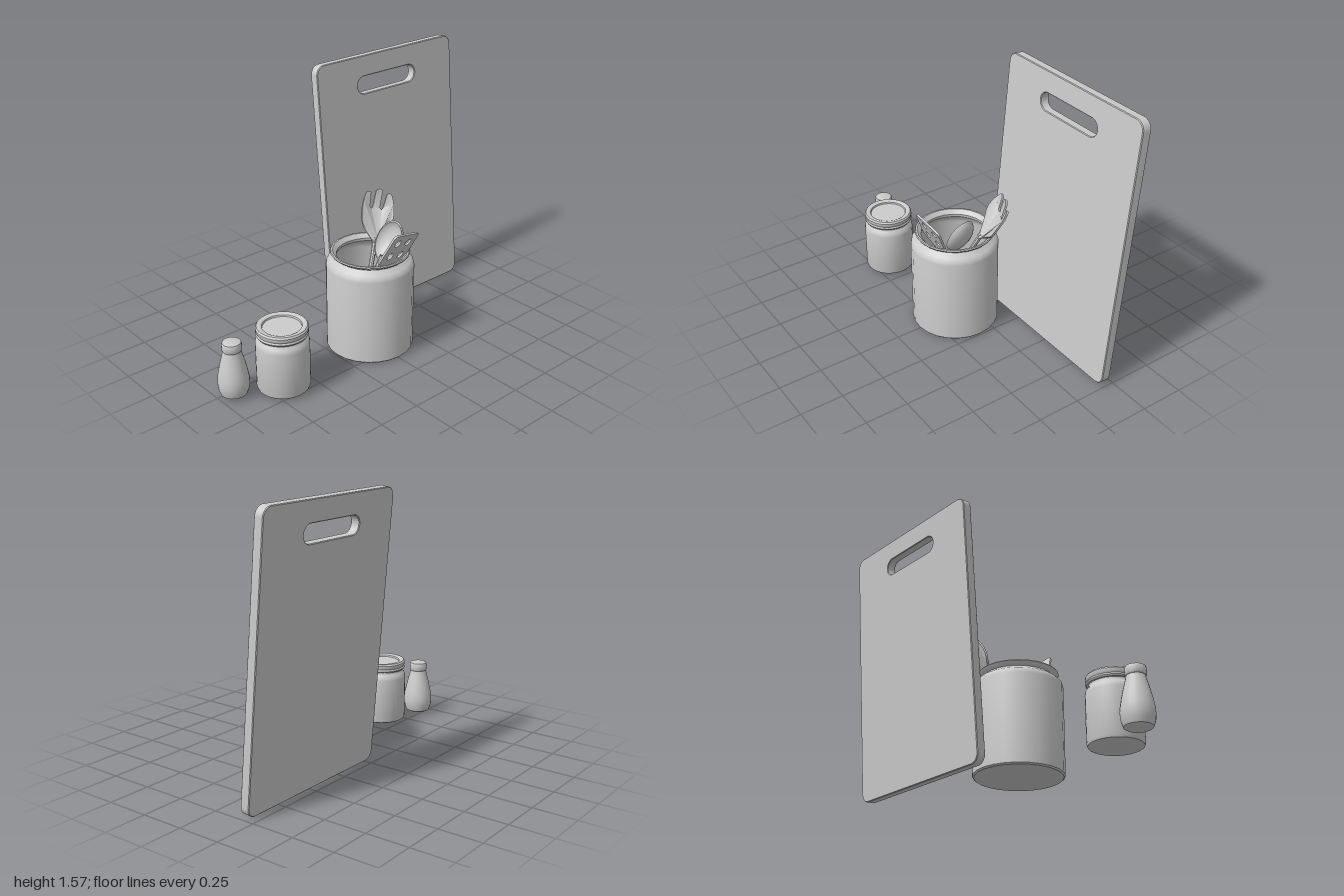
import * as THREE from 'three';
import { toCreasedNormals } from 'three/addons/utils/BufferGeometryUtils.js';

const mat = new THREE.MeshStandardMaterial({ color: 0xcccccc, side: THREE.DoubleSide });
const V = (x, y, z) => new THREE.Vector3(x, y, z);

function mesh(name, geometry, crease = 0.6) {
  const m = new THREE.Mesh(toCreasedNormals(geometry, crease), mat);
  m.name = name;
  return m;
}

// Turned part from [radius, height] pairs
function turned(name, profile, x, z, sides) {
  const m = mesh(name, new THREE.LatheGeometry(profile.map(p => new THREE.Vector2(...p)), sides));
  m.position.set(x, 0, z);
  return m;
}

// Rounded rectangle with lower left corner at x, y
function roundRect(path, x, y, w, h, r) {
  path.moveTo(x + r, y);
  path.lineTo(x + w - r, y);
  path.absarc(x + w - r, y + r, r, -Math.PI / 2, 0);
  path.lineTo(x + w, y + h - r);
  path.absarc(x + w - r, y + h - r, r, 0, Math.PI / 2);
  path.lineTo(x + r, y + h);
  path.absarc(x + r, y + h - r, r, Math.PI / 2, Math.PI);
  path.lineTo(x, y + r);
  path.absarc(x + r, y + r, r, Math.PI, Math.PI * 1.5);
  return path;
}

// Utensil: head geometry grows along local +y from base; handle runs down to end
function utensil(name, head, base, axis, facing, end, radius) {
  const g = new THREE.Group();
  g.name = name;
  const y = axis.clone().normalize();
  const x = y.clone().cross(facing).normalize();
  const z = x.clone().cross(y);
  const m = mesh(name + 'Head', head, 0.8);
  m.applyMatrix4(new THREE.Matrix4().makeBasis(x, y, z).setPosition(base));
  const path = new THREE.CatmullRomCurve3([
    end, end.clone().lerp(base, 0.5), base.clone().addScaledVector(y, -0.03), base.clone().addScaledVector(y, 0.03),
  ]);
  const handle = mesh(name + 'Handle', new THREE.TubeGeometry(path, 16, radius, 8));
  const cap = mesh(name + 'HandleEnd', new THREE.SphereGeometry(radius, 8, 6));
  cap.position.copy(end);
  g.add(m, handle, cap);
  return g;
}

// Flat blade with four oval holes
function turnerHead() {
  const s = new THREE.Shape();
  s.moveTo(-0.014, 0);
  s.lineTo(0.014, 0);
  s.quadraticCurveTo(0.03, 0.035, 0.075, 0.05);
  s.quadraticCurveTo(0.104, 0.06, 0.104, 0.09);
  s.lineTo(0.1, 0.245);
  s.quadraticCurveTo(0.1, 0.27, 0.075, 0.27);
  s.lineTo(-0.075, 0.27);
  s.quadraticCurveTo(-0.1, 0.27, -0.1, 0.245);
  s.lineTo(-0.104, 0.09);
  s.quadraticCurveTo(-0.104, 0.06, -0.075, 0.05);
  s.quadraticCurveTo(-0.03, 0.035, -0.014, 0);
  for (const x of [-0.043, 0.043]) for (const y of [0.115, 0.21]) {
    s.holes.push(new THREE.Path().absellipse(x, y, 0.02, 0.024, 0, Math.PI * 2, true));
  }
  return new THREE.ExtrudeGeometry(s, { depth: 0.012, bevelEnabled: false, curveSegments: 8 }).translate(0, 0, -0.006);
}

// Oval head with three tines, dished by a rule
function forkHead() {
  const s = new THREE.Shape();
  s.moveTo(-0.014, 0);
  s.lineTo(0.014, 0);
  s.bezierCurveTo(0.03, 0.05, 0.1, 0.08, 0.1, 0.17);
  s.bezierCurveTo(0.1, 0.22, 0.09, 0.26, 0.077, 0.288);
  s.quadraticCurveTo(0.06, 0.298, 0.05, 0.285);
  s.lineTo(0.042, 0.21);
  s.quadraticCurveTo(0.032, 0.185, 0.022, 0.21);
  s.lineTo(0.02, 0.3);
  s.quadraticCurveTo(0, 0.325, -0.02, 0.3);
  s.lineTo(-0.022, 0.21);
  s.quadraticCurveTo(-0.032, 0.185, -0.042, 0.21);
  s.lineTo(-0.05, 0.285);
  s.quadraticCurveTo(-0.06, 0.298, -0.077, 0.288);
  s.bezierCurveTo(-0.09, 0.26, -0.1, 0.22, -0.1, 0.17);
  s.bezierCurveTo(-0.1, 0.08, -0.03, 0.05, -0.014, 0);
  const g = new THREE.ExtrudeGeometry(s, { depth: 0.012, bevelEnabled: false, curveSegments: 10 });
  const p = g.attributes.position;
  for (let i = 0; i < p.count; i++) {
    const x = p.getX(i) / 0.1, y = p.getY(i) / 0.32;
    p.setZ(i, p.getZ(i) - 0.04 * Math.sin(Math.PI * y) * (1 - x * x));
  }
  return g;
}

// Shallow oval bowl, hollow towards +z, with an inner and an outer skin
function spoonHead() {
  const profile = [[0.001, -0.05], [0.45, -0.044], [0.75, -0.032], [0.93, -0.015], [1, 0],
    [0.93, 0.002], [0.86, -0.01], [0.68, -0.024], [0.4, -0.036], [0.001, -0.041]];
  return new THREE.LatheGeometry(profile.map(p => new THREE.Vector2(...p)), 28)
    .rotateX(Math.PI / 2).scale(0.09, 0.125, 1).translate(0, 0.12, 0);
}

export function createModel() {
  const model = new THREE.Group();
  model.name = 'kitchenSet';

  // Leaning cutting board with a grip slot
  const outline = roundRect(new THREE.Shape(), -0.04, 0, 1.04, 1.56, 0.055);
  outline.holes.push(roundRect(new THREE.Path(), 0.25, 1.34, 0.445, 0.1, 0.0499));
  const board = mesh('cuttingBoard', new THREE.ExtrudeGeometry(outline, {
    depth: 0.047, bevelThickness: 0.004, bevelSize: 0.004, bevelOffset: -0.004, bevelSegments: 1, curveSegments: 8,
  }).translate(0, 0, -0.051));
  board.position.set(0, 0.015, -0.165);
  board.rotation.x = -0.0865;
  model.add(board);

  // Hollow crock with a flared rim
  model.add(turned('crock', [
    [0, 0], [0.242, 0], [0.25, 0.008], [0.25, 0.51], [0.246, 0.528], [0.232, 0.545], [0.208, 0.56], [0.202, 0.568],
    [0.222, 0.582], [0.226, 0.59], [0.222, 0.596], [0.212, 0.596], [0.19, 0.572], [0.192, 0.555], [0.222, 0.525],
    [0.228, 0.5], [0.228, 0.03], [0, 0.03],
  ], 0, 0.1, 24));

  // Utensils in the crock
  model.add(utensil('turner', turnerHead(), V(0.008, 0.507, 0.217), V(0.26, 1, 0.45), V(0, -0.4, 0.9), V(-0.165, 0.08, 0.06), 0.014));
  model.add(utensil('fork', forkHead(), V(0.115, 0.565, 0.01), V(0.125, 0.275, -0.095), V(-0.35, 0.2, 0.9), V(-0.11, 0.07, 0.13), 0.014));
  model.add(utensil('spoon', spoonHead(), V(0.055, 0.515, 0.125), V(0.1, 0.21, 0.025), V(-0.9, 0.4, 0.1), V(-0.15, 0.07, 0.05), 0.014));

  // Jar and its lid with a sunken top
  const jar = new THREE.Group();
  jar.name = 'jar';
  jar.add(turned('jarBody', [
    [0, 0.012], [0.13, 0.01], [0.142, 0.016], [0.147, 0.03], [0.147, 0.285], [0.144, 0.303], [0.134, 0.316],
    [0.128, 0.325], [0.128, 0.35], [0, 0.35],
  ], -0.665, 0.145, 32));
  jar.add(turned('jarLid', [
    [0.126, 0.337], [0.138, 0.337], [0.143, 0.346], [0.138, 0.356], [0.143, 0.366], [0.143, 0.38], [0.136, 0.39],
    [0.12, 0.391], [0.108, 0.385], [0.105, 0.376], [0, 0.376],
  ], -0.665, 0.145, 32));
  model.add(jar);

  // Shaker with a screw cap
  const shaker = new THREE.Group();
  shaker.name = 'shaker';
  shaker.add(turned('shakerBody', [
    [0, 0.016], [0.06, 0.014], [0.073, 0.022], [0.083, 0.05], [0.087, 0.085], [0.085, 0.12], [0.077, 0.165],
    [0.064, 0.22], [0.053, 0.262], [0.048, 0.285], [0, 0.285],
  ], -0.913, 0.032, 24));
  shaker.add(turned('shakerCap', [
    [0, 0.282], [0.05, 0.282], [0.054, 0.288], [0.054, 0.32], [0.05, 0.331], [0.04, 0.335], [0, 0.336],
  ], -0.913, 0.032, 24));
  model.add(shaker);

  return model;
}
